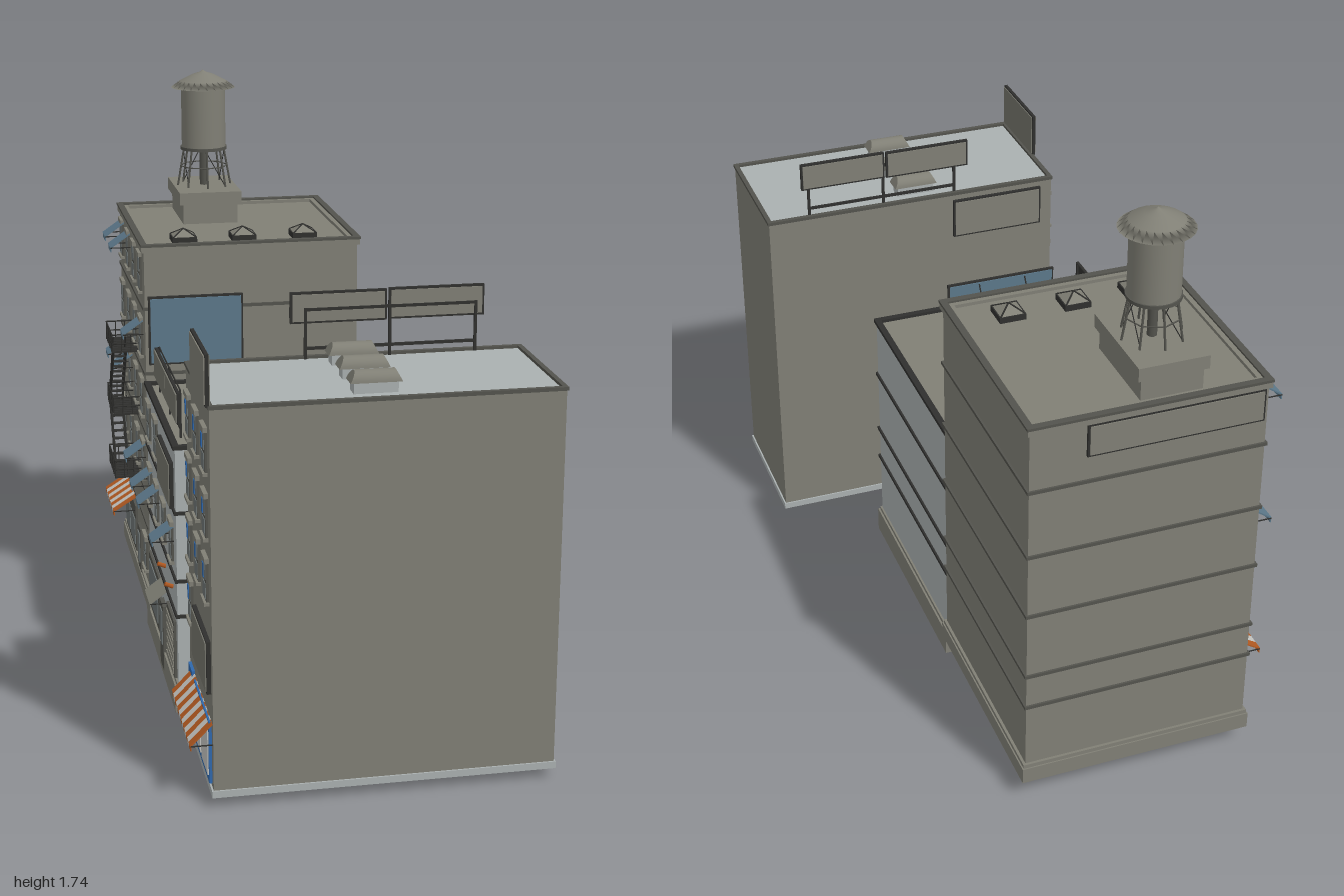
import * as THREE from 'three';

const D = THREE.DoubleSide;
const mat = (name, color, side = THREE.FrontSide) => {
  const m = new THREE.MeshStandardMaterial({ color, side });
  m.name = name;
  return m;
};

export function createModel() {
  const stone = mat('khaki stone', 0x807f75, D), pale = mat('pale grey', 0xaab0b0, D);
  const dark = mat('dark metal', 0x30302e), trim = mat('dark trim', 0x53534d), glass = mat('window glass', 0x6d7474);
  const canvas = mat('blue canvas', 0x5c788a), orange = mat('orange canvas', 0xb25a22);
  const white = mat('white canvas', 0xc4c4c0), blue = mat('blue paint', 0x2f68ac), board = mat('board face', 0x74746b);
  const model = new THREE.Group();
  let parent = model;

  const add = (name, geo, m, x = 0, y = 0, z = 0) => {
    const mesh = new THREE.Mesh(geo, m);
    mesh.name = name;
    mesh.position.set(x, y, z);
    parent.add(mesh);
    return mesh;
  };
  // box given by its limits
  const box = (name, m, x0, x1, y0, y1, z0, z1) =>
    add(name, new THREE.BoxGeometry(x1 - x0, y1 - y0, z1 - z0), m, (x0 + x1) / 2, (y0 + y1) / 2, (z0 + z1) / 2);
  const rod = (name, m, a, b, r = 0.0025) => {
    const p = new THREE.Vector3(...a), q = new THREE.Vector3(...b), d = q.clone().sub(p);
    const mesh = add(name, new THREE.CylinderGeometry(r, r, d.length(), 5), m);
    mesh.position.copy(p).add(q).multiplyScalar(0.5);
    mesh.quaternion.setFromUnitVectors(new THREE.Vector3(0, 1, 0), d.normalize());
    return mesh;
  };
  // rectangular ring round a building
  const ring = (name, m, [x0, x1, z0, z1], out, inn, y0, y1) => {
    const rect = (T, o) => {
      const s = new T();
      s.moveTo(x0 - o, -z1 - o); s.lineTo(x1 + o, -z1 - o); s.lineTo(x1 + o, -z0 + o); s.lineTo(x0 - o, -z0 + o);
      s.closePath();
      return s;
    };
    const shape = rect(THREE.Shape, out);
    shape.holes.push(rect(THREE.Path, -inn));
    const g = new THREE.ExtrudeGeometry(shape, { depth: y1 - y0, bevelEnabled: false });
    g.rotateX(-Math.PI / 2);
    return add(name, g, m, 0, y0, 0);
  };
  // walls and roof, open underneath
  const shell = (name, wall, roof, [x0, x1, z0, z1], y0, y1) => {
    const g = new THREE.BoxGeometry(x1 - x0, y1 - y0, z1 - z0), idx = Array.from(g.index.array);
    idx.splice(18, 6);
    g.setIndex(idx);
    g.clearGroups();
    [[0, 12, 0], [12, 6, 1], [18, 12, 0]].forEach(a => g.addGroup(...a));
    return add(name, g, [wall, roof], (x0 + x1) / 2, (y0 + y1) / 2, (z0 + z1) / 2);
  };
  const group = (name, build) => {
    const old = parent, g = new THREE.Group();
    g.name = name;
    old.add(g);
    parent = g;
    build();
    parent = old;
  };
  const sash = (x, y, z, w = 0.06, h = 0.11) => group('window', () => {
    box('windowFrame', trim, x - 0.007, x, y - h / 2, y + h / 2, z - w / 2, z + w / 2);
    for (const s of [-1, 1])
      box('pane', glass, x - 0.009, x - 0.006, y + s * h / 4 - h / 5, y + s * h / 4 + h / 5, z - w * 0.37, z + w * 0.37);
    box('sill', stone, x - 0.014, x, y - h / 2 - 0.009, y - h / 2, z - w * 0.6, z + w * 0.6);
    box('lintel', stone, x - 0.012, x, y + h / 2, y + h / 2 + 0.014, z - w * 0.6, z + w * 0.6);
  });
  // sloping canvas with hanging edge, in one or more stripes
  const awning = (x, y, z, w, h, out, mats, n = 1) => group('awning', () => {
    for (let i = 0; i < n; i++) {
      const zc = z - w / 2 + (i + 0.5) * w / n, m = mats[i % mats.length];
      const top = add('awningCanvas', new THREE.BoxGeometry(Math.hypot(out, h), 0.004, w / n), m, x - out / 2, y - h / 2, zc);
      top.rotation.z = Math.atan2(h, out);
      box('awningEdge', m, x - out, x - out + 0.003, y - h - 0.014, y - h, zc - w / n / 2, zc + w / n / 2);
    }
    for (const s of [-1, 1]) rod('awningArm', dark, [x, y - h, z + s * w / 2], [x - out, y - h, z + s * w / 2], 0.002);
  });
  const framed = (name, m, x0, x1, y0, y1, z0, z1) => group(name, () => {
    const t = 0.006, thinX = x1 - x0 < z1 - z0;
    box('boardBack', dark, x0, x1, y0, y1, z0, z1);
    if (thinX) box('boardFace', m, x0 - 0.003, x0, y0 + t, y1 - t, z0 + t, z1 - t);
    else box('boardFace', m, x0 + t, x1 - t, y0 + t, y1 - t, z0 - 0.003, z1 + 0.003);
  });
  // roof vent with a rounded hood
  const vent = (x, y, z) => group('roofVent', () => {
    box('ventBase', pale, x - 0.06, x + 0.06, y, y + 0.03, z - 0.023, z + 0.023);
    const g = new THREE.CylinderGeometry(0.03, 0.03, 0.14, 12, 1, false, 0, Math.PI);
    const p = g.attributes.position;
    for (let i = 0; i < p.count; i++) p.setY(i, p.getY(i) * (1 - 6 * Math.max(0, p.getX(i)) ** 1.0 * 1.2));
    g.rotateZ(Math.PI / 2);
    g.computeVertexNormals();
    add('ventHood', g, stone, x, y + 0.03, z);
  });

  // Tall rear building
  group('rearBuilding', () => {
    const f = [-0.44, 0.24, -0.99, -0.31], X = f[0];
    shell('rearWalls', stone, stone, f, 0.06, 1.25);
    ring('rearPlinth', stone, f, 0.012, 0.004, 0.06, 0.11);
    ring('rearPlinthCap', stone, f, 0.008, 0.004, 0.11, 0.122);
    for (const y of [0.33, 0.44, 0.65, 0.85, 1.06]) ring('rearBand', trim, f, 0.006, 0.006, y - 0.005, y + 0.005);
    ring('rearParapet', stone, f, 0.008, 0.025, 1.24, 1.26);
    ring('rearCoping', trim, f, 0.01, 0.01, 1.258, 1.266);
    for (const y of [0.54, 0.75, 0.95, 1.16]) for (const z of [-0.91, -0.73, -0.56, -0.4]) sash(X, y, z);
    for (const [y, z] of [[1.22, -0.91], [1.22, -0.73], [1.01, -0.4], [0.81, -0.91], [0.81, -0.73], [0.6, -0.4]])
      awning(X, y, z, 0.075, 0.045, 0.065, [canvas]);
    // street level
    box('shopFrame', trim, X - 0.008, X, 0.13, 0.29, -0.94, -0.64);
    for (const z of [-0.865, -0.715]) box('shopPane', glass, X - 0.011, X - 0.007, 0.15, 0.24, z - 0.06, z + 0.06);
    awning(X, 0.32, -0.79, 0.26, 0.05, 0.08, [orange, white], 9);
    box('door', trim, X - 0.01, X, 0.07, 0.26, -0.57, -0.49);
    box('doorGlass', glass, X - 0.013, X - 0.009, 0.14, 0.24, -0.555, -0.505);
    sash(X, 0.22, -0.39, 0.07, 0.1);
    // wall boards
    framed('frontWallBoard', canvas, -0.43, -0.13, 0.88, 1.1, -0.31, -0.298);
    framed('backWallBoard', stone, -0.43, 0.08, 1.14, 1.24, -0.998, -0.99);
    box('wallVent', trim, 0.02, 0.065, 1.01, 1.045, -0.31, -0.295);
    // skylights
    for (const x of [-0.3, -0.11, 0.085]) {
      box('skylightCurb', dark, x - 0.039, x + 0.039, 1.25, 1.268, -0.459, -0.381);
      const g = new THREE.ConeGeometry(0.05, 0.022, 4, 1).toNonIndexed();
      g.rotateY(Math.PI / 4);
      g.computeVertexNormals();
      add('skylightPyramid', g, stone, x, 1.279, -0.42);
      for (const sx of [-1, 1]) for (const sz of [-1, 1])
        rod('skylightRib', dark, [x, 1.29, -0.42], [x + sx * 0.036, 1.268, -0.42 + sz * 0.036]);
    }
  });

  // Water tower
  group('waterTower', () => {
    const x = -0.175, z = -0.81;
    box('towerBaseLower', stone, x - 0.09, x + 0.09, 1.25, 1.315, z - 0.14, z + 0.14);
    box('towerBaseUpper', stone, x - 0.102, x + 0.102, 1.315, 1.355, z - 0.15, z + 0.15);
    for (let i = 0; i < 8; i++) {
      const at = (k, r, y) => [x + r * Math.cos(k * Math.PI / 4), y, z + r * Math.sin(k * Math.PI / 4)];
      rod('towerLeg', trim, at(i, 0.088, 1.355), at(i, 0.066, 1.48), 0.0035);
      rod('towerRing', trim, at(i, 0.078, 1.42), at(i + 1, 0.078, 1.42), 0.002);
      if (i % 2) rod('towerBrace', dark, at(i, 0.085, 1.36), at(i + 1, 0.068, 1.47), 0.0015);
    }
    add('standpipe', new THREE.CylinderGeometry(0.014, 0.014, 0.13, 10), trim, x, 1.42, z);
    add('tank', new THREE.CylinderGeometry(0.073, 0.073, 0.205, 24), stone, x, 1.5825, z);
    add('tankFloor', new THREE.CylinderGeometry(0.077, 0.077, 0.01, 24), trim, x, 1.48, z);
    const roof = [[0, 1.675], [0.105, 1.68], [0.075, 1.702], [0.035, 1.722], [0.01, 1.73], [0, 1.737]];
    add('tankRoof', new THREE.LatheGeometry(roof.map(p => new THREE.Vector2(...p)), 24), stone, x, 0, z);
  });

  // Fire escape
  group('fireEscape', () => {
    const x0 = -0.53, x1 = -0.445, z0 = -0.645, z1 = -0.465, levels = [0.455, 0.67, 0.88];
    for (const y of levels) {
      for (let i = 0; i < 9; i++) box('platformSlat', dark, x0, x1, y, y + 0.006, z0 + i * 0.021, z0 + i * 0.021 + 0.013);
      for (const h of [0.03, 0.06]) {
        rod('rail', dark, [x0, y + h, z0], [x0, y + h, z1]);
        for (const z of [z0, z1]) rod('rail', dark, [x0, y + h, z], [x1, y + h, z]);
      }
      for (let i = 0; i <= 8; i++) rod('railPost', dark, [x0, y, z0 + i * 0.0225], [x0, y + 0.06, z0 + i * 0.0225], 0.0018);
      for (const z of [z0, z1]) for (const x of [-0.5, -0.47]) rod('railPost', dark, [x, y, z], [x, y + 0.06, z], 0.0018);
    }
    for (let l = 0; l < 2; l++) {
      const a = levels[l], b = levels[l + 1], s = l ? 1 : -1, zm = -0.555;
      for (const x of [-0.525, -0.485]) {
        rod('stairStringer', dark, [x, a, zm - s * 0.075], [x, b, zm + s * 0.075], 0.004);
        rod('stairRail', dark, [x, a + 0.05, zm - s * 0.075], [x, b + 0.05, zm + s * 0.075]);
      }
      for (let i = 1; i < 10; i++) {
        const y = a + (b - a) * i / 10, z = zm + s * (i / 10 - 0.5) * 0.15;
        box('stairTread', dark, -0.525, -0.485, y, y + 0.004, z - 0.009, z + 0.009);
      }
    }
  });

  // Low middle building
  group('middleBuilding', () => {
    const f = [-0.44, 0.235, -0.305, 0.37], X = f[0];
    shell('middleWalls', pale, stone, f, 0, 0.815);
    ring('middlePlinth', stone, f, 0.012, 0.004, 0, 0.08);
    ring('middlePlinthCap', stone, f, 0.006, 0.004, 0.08, 0.092);
    for (const y of [0.3, 0.41, 0.62]) ring('middleBand', dark, f, 0.006, 0.006, y - 0.005, y + 0.005);
    ring('middleCoping', dark, f, 0.007, 0.012, 0.813, 0.825);
    for (const z of [-0.23, -0.06, 0.11, 0.28]) {
      sash(X, 0.505, z);
      if (z < 0) sash(X, 0.715, z);
      else rod('wallLamp', orange, [X, 0.36, z], [X - 0.025, 0.37, z], 0.007);
    }
    for (const z of [-0.23, -0.06, 0.28]) awning(X, 0.56, z, 0.07, 0.045, 0.065, [canvas]);
    framed('facadeBoard', board, X - 0.012, X, 0.62, 0.76, 0.05, 0.33);
    // street level
    box('shopFrame', trim, X - 0.008, X, 0.09, 0.27, -0.27, -0.02);
    box('shopPane', glass, X - 0.011, X - 0.007, 0.11, 0.25, -0.25, -0.04);
    box('door', trim, X - 0.013, X, 0.02, 0.23, 0.04, 0.12);
    box('doorGlass', glass, X - 0.016, X - 0.012, 0.1, 0.21, 0.055, 0.105);
    awning(X, 0.29, 0.08, 0.12, 0.04, 0.055, [stone]);
    box('shutter', trim, X - 0.008, X, 0.09, 0.27, 0.17, 0.34);
    for (let i = 0; i < 7; i++) box('shutterSlat', stone, X - 0.011, X - 0.007, 0.1 + i * 0.023, 0.115 + i * 0.023, 0.18, 0.33);
    for (const z of [-0.23, -0.07, 0.085]) vent(0, 0.815, z);
    // roof sign along the street
    box('signBack', dark, -0.42, -0.411, 0.86, 0.955, -0.235, 0.285);
    for (const [a, b] of [[-0.23, 0.022], [0.028, 0.28]]) box('signFace', board, -0.424, -0.42, 0.865, 0.95, a, b);
    for (const z of [-0.215, 0.025, 0.265]) box('signPost', dark, -0.411, -0.405, 0.815, 0.96, z - 0.003, z + 0.003);
    for (const y of [0.84, 0.96]) rod('signRail', dark, [-0.408, y, -0.215], [-0.408, y, 0.265]);
    // roof sign on the gap side
    framed('gapSign', canvas, -0.36, 0, 0.825, 0.91, 0.352, 0.36);
    for (const x of [-0.26, -0.105]) rod('signBrace', dark, [x, 0.9, 0.352], [x, 0.815, 0.295]);
  });

  // Front building
  group('frontBuilding', () => {
    const f = [-0.43, 0.52, 0.56, 0.995], X = f[0];
    shell('frontWalls', stone, pale, f, 0.03, 1.12);
    ring('frontPlinth', pale, f, 0.005, 0.004, 0.03, 0.05);
    ring('frontCoping', trim, f, 0.004, 0.01, 1.118, 1.128);
    for (const z of [0.62, 0.77, 0.92]) for (const y of [0.45, 0.63, 0.81, 0.99]) {
      if (y < 0.5 && z > 0.7) continue;
      sash(X, y, z, 0.06, 0.11);
      box('blind', blue, X - 0.011, X - 0.008, y + 0.005, y + 0.045, z - 0.018, z + 0.002);
    }
    framed('facadeBoard', board, X - 0.012, X, 0.32, 0.47, 0.7, 0.97);
    box('door', blue, X - 0.009, X, 0.06, 0.25, 0.585, 0.655);
    box('doorGlass', glass, X - 0.012, X - 0.008, 0.13, 0.23, 0.605, 0.635);
    box('shopFrame', blue, X - 0.008, X, 0.06, 0.24, 0.69, 0.97);
    for (const z of [0.76, 0.9]) box('shopPane', white, X - 0.011, X - 0.007, 0.08, 0.22, z - 0.06, z + 0.06);
    awning(X, 0.24, 0.8, 0.37, 0.06, 0.06, [orange, white], 13);
    for (const z of [0.63, 0.77, 0.91]) vent(0.02, 1.12, z);
    // roof sign over the facade
    framed('facadeRoofSign', stone, -0.44, -0.43, 1.125, 1.265, 0.73, 0.998);
    box('signRear', board, -0.43, -0.427, 1.13, 1.26, 0.735, 0.993);
    // double billboard over the gap
    framed('billboardLeft', stone, -0.14, 0.132, 1.22, 1.308, 0.557, 0.567);
    framed('billboardRight', stone, 0.138, 0.41, 1.222, 1.31, 0.557, 0.567);
    for (const x of [-0.098, 0.14, 0.385]) box('billboardPost', dark, x - 0.004, x + 0.004, 1.12, 1.265, 0.567, 0.574);
    for (const y of [1.15, 1.26]) box('billboardRail', dark, -0.098, 0.385, y - 0.004, y + 0.004, 0.567, 0.574);
    framed('gapWallBoard', stone, -0.39, -0.09, 0.97, 1.1, 0.55, 0.56);
  });

  return model;
}
